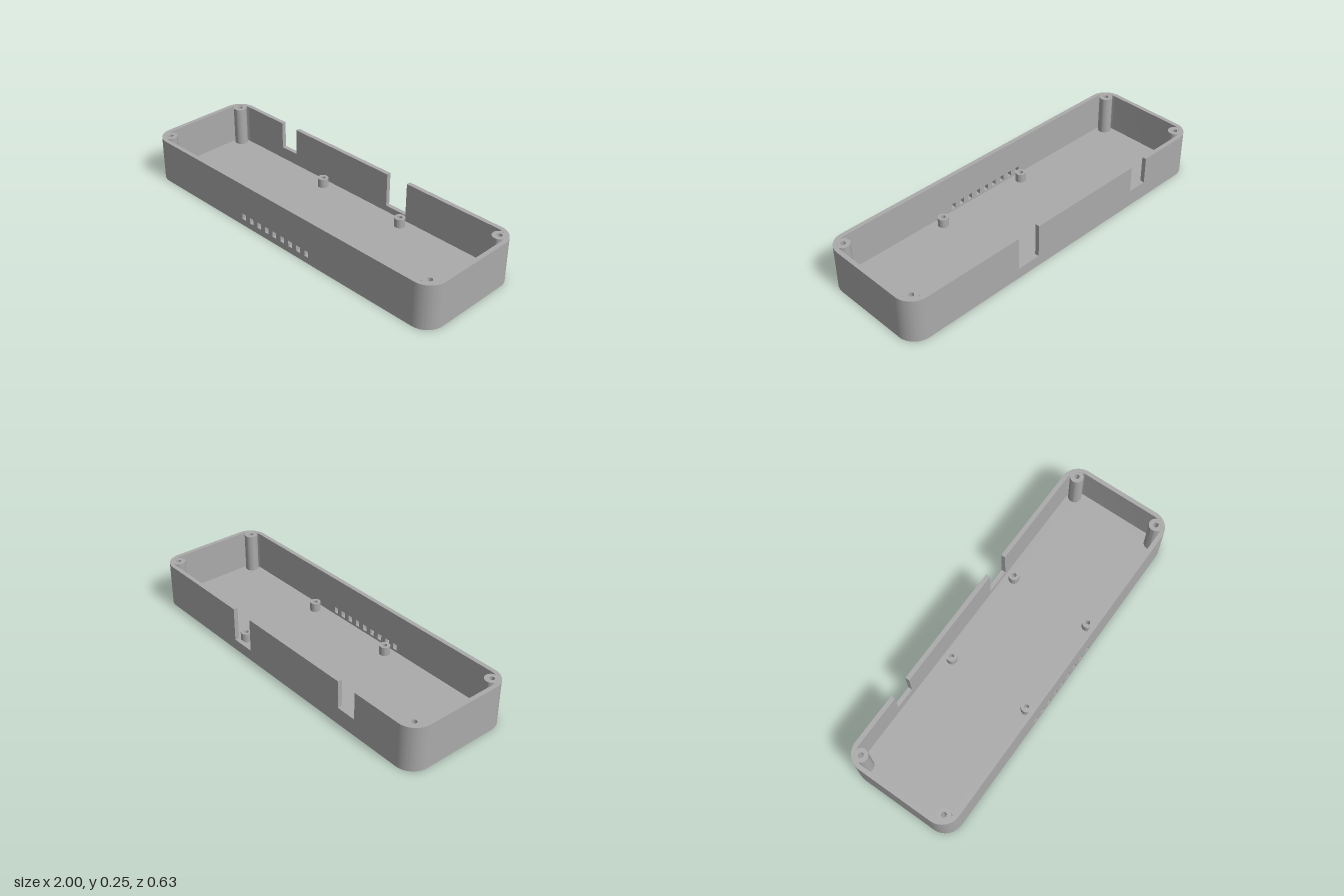
import * as THREE from 'three';
import { toCreasedNormals } from 'three/addons/utils/BufferGeometryUtils.js';

const W = 1, D = 0.314, H = 0.248;          // half width, half depth, height
const R = 0.1, T = 0.024, FLOOR = 0.025;    // corner radius, wall, floor thickness
const CX = W - R, CZ = D - R;               // corner arc centres

const grey = new THREE.MeshStandardMaterial({ color: 0xaaaaaa });
grey.name = 'grey plastic';

function add(parent, name, geometry, x = 0, y = 0, z = 0) {
  const mesh = new THREE.Mesh(geometry, grey);
  mesh.name = name;
  mesh.position.set(x, y, z);
  parent.add(mesh);
  return mesh;
}

function extrude(shape, depth) {
  const g = new THREE.ExtrudeGeometry(shape, { depth, bevelEnabled: false, curveSegments: 16 });
  return toCreasedNormals(g, 0.5);
}

// Plan outline extruded upwards
const extrudeUp = (shape, height) => extrude(shape, height).rotateX(-Math.PI / 2);

function floorShape() {
  const s = new THREE.Shape();
  s.absarc(CX, CZ, R, 0, Math.PI / 2);
  s.absarc(-CX, CZ, R, Math.PI / 2, Math.PI);
  s.absarc(-CX, -CZ, R, Math.PI, Math.PI * 1.5);
  s.absarc(CX, -CZ, R, Math.PI * 1.5, Math.PI * 2);
  s.closePath();
  return s;
}

// C-shaped end wall with both rounded corners
function endShape() {
  const s = new THREE.Shape();
  s.absarc(CX, -CZ, R, -Math.PI / 2, 0);
  s.absarc(CX, CZ, R, 0, Math.PI / 2);
  s.absarc(CX, CZ, R - T, Math.PI / 2, 0, true);
  s.absarc(CX, -CZ, R - T, 0, -Math.PI / 2, true);
  s.closePath();
  return s;
}

// Front wall with a row of nine small slots
function frontShape() {
  const s = new THREE.Shape();
  s.moveTo(-CX, 0).lineTo(CX, 0).lineTo(CX, H).lineTo(-CX, H).closePath();
  for (let i = 0; i < 9; i++) {
    const x = -0.253 + i * 0.0583, w = 0.0135;
    const hole = new THREE.Path();
    hole.moveTo(x - w, 0.037).lineTo(x - w, 0.07).lineTo(x + w, 0.07).lineTo(x + w, 0.037).closePath();
    s.holes.push(hole);
  }
  return s;
}

// Back wall with two connector notches open at the rim
function backShape() {
  const s = new THREE.Shape();
  s.moveTo(-CX, 0).lineTo(CX, 0).lineTo(CX, H);
  for (const [x0, x1, y] of [[0.19, 0.325, 0.06], [-0.615, -0.5, 0.095]]) {
    s.lineTo(x1, H).lineTo(x1, y).lineTo(x0, y).lineTo(x0, H);
  }
  s.lineTo(-CX, H).closePath();
  return s;
}

// Round post with a screw hole
function post(radius, bore, height) {
  const s = new THREE.Shape();
  s.absarc(0, 0, radius, 0, Math.PI * 2);
  const hole = new THREE.Path();
  hole.absarc(0, 0, bore, 0, Math.PI * 2, true);
  s.holes.push(hole);
  return extrudeUp(s, height);
}

export function createModel() {
  const model = new THREE.Group();
  model.name = 'enclosureBase';

  add(model, 'floor', extrudeUp(floorShape(), FLOOR));

  // Walls
  const end = extrudeUp(endShape(), H);
  add(model, 'leftEndWall', end);
  add(model, 'rightEndWall', end).rotation.y = Math.PI;
  add(model, 'frontWall', extrude(frontShape(), T), 0, 0, D - T);
  add(model, 'backWall', extrude(backShape(), T), 0, 0, -D);

  // Tall corner screw posts and short board standoffs
  const tall = post(0.037, 0.014, H - FLOOR - 0.001);
  const short = post(0.029, 0.013, 0.05);
  for (const side of [-1, 1]) {
    for (const x of [-0.938, 0.938]) add(model, 'cornerPost', tall, x, FLOOR, side * 0.251);
    for (const x of [-0.232, 0.332]) add(model, 'boardStandoff', short, x, FLOOR, side * 0.238);
  }
  return model;
}
